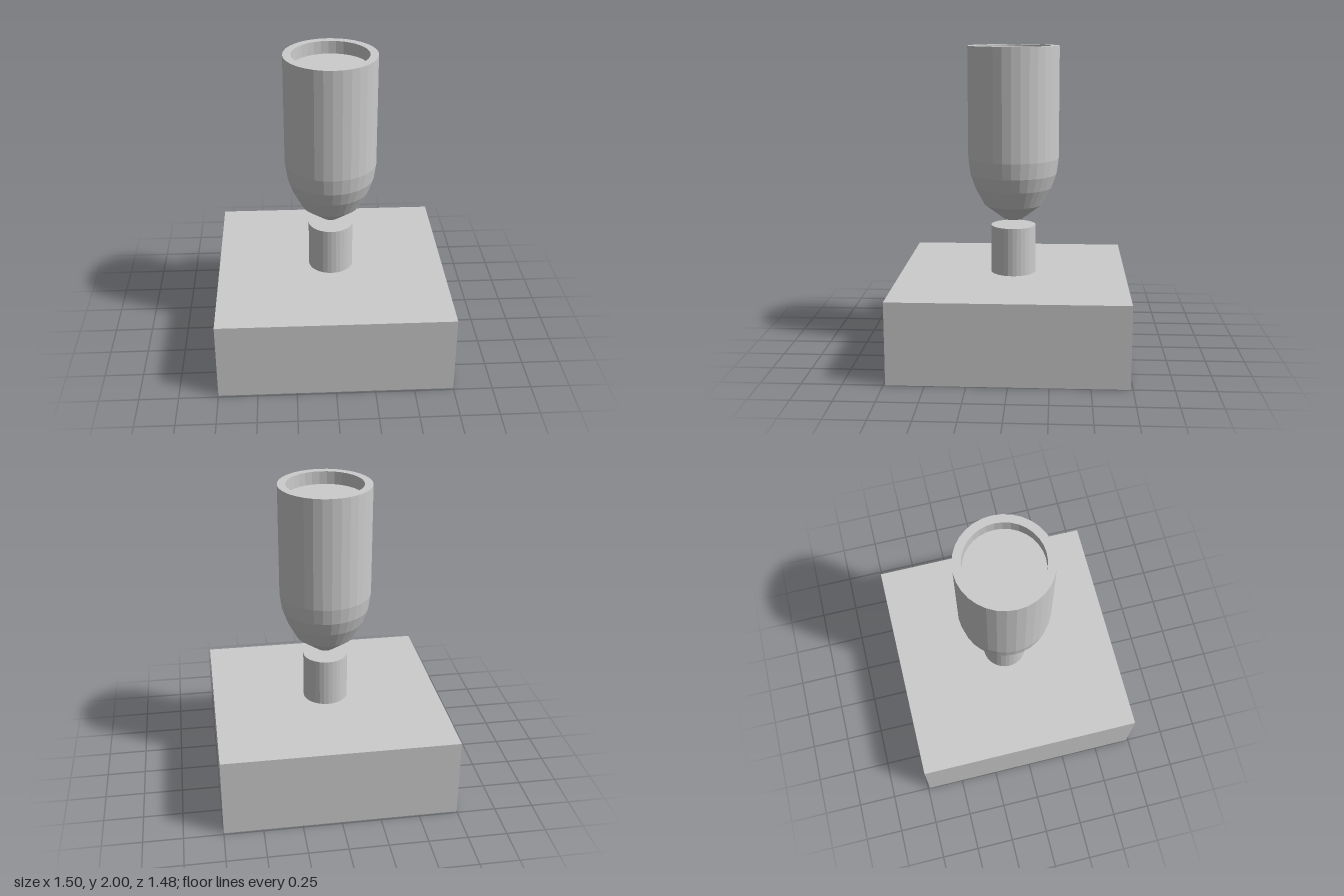
import * as THREE from 'three';

const SIDES = 32;

export function createModel() {
  const model = new THREE.Group();
  const material = new THREE.MeshStandardMaterial({ color: 0xcccccc, flatShading: true });

  const addPart = (name, geometry, y) => {
    const mesh = new THREE.Mesh(geometry, material);
    mesh.name = name;
    mesh.position.y = y;
    model.add(mesh);
  };

  // Block standing on the ground
  const baseHeight = 0.52;
  addPart('base', new THREE.BoxGeometry(1.5, baseHeight, 1.475), baseHeight / 2);

  // Short post on the block, ending just below the cup
  const postHeight = 0.315;
  addPart('post', new THREE.CylinderGeometry(0.146, 0.146, postHeight, SIDES), baseHeight + postHeight / 2);

  // Floating cup: blunt tip, rounded shoulder, straight wall, rim and shallow recess
  const profile = [
    [0, 0.875], [0.057, 0.875], [0.19, 0.974], [0.25, 1.087], [0.281, 1.177],
    [0.295, 1.28], [0.295, 2], [0.243, 2], [0.243, 1.917], [0, 1.917],
  ].map(([r, y]) => new THREE.Vector2(r, y));
  addPart('cup', new THREE.LatheGeometry(profile, SIDES), 0);

  return model;
}
